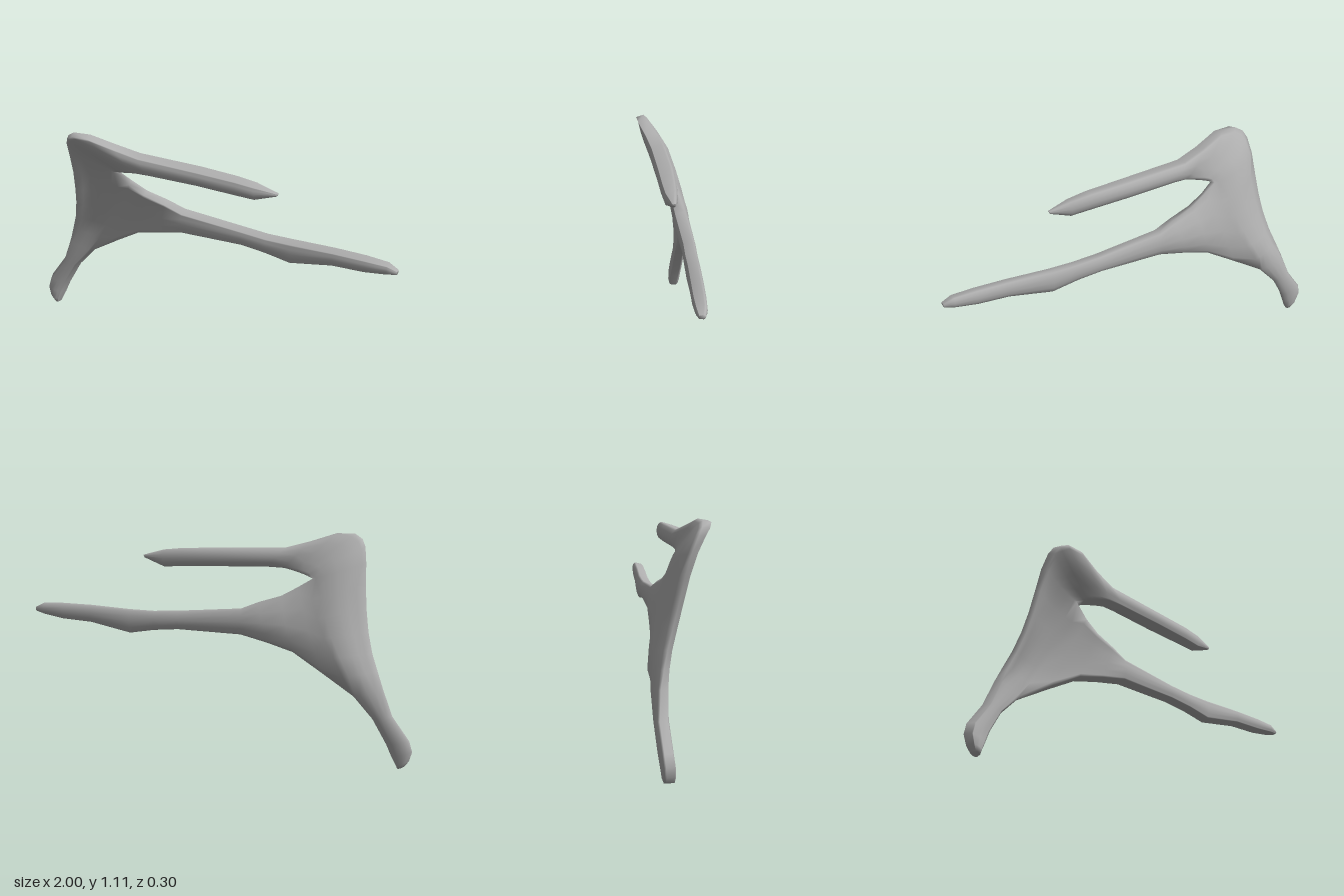
import * as THREE from 'three';
import { mergeVertices } from 'three/addons/utils/BufferGeometryUtils.js';

const N = 7; // points across each face of a section; equals the number of post rows below

// A section is a closed ring: front face from edge a to edge b, then the back face in return.
// The front is blunt and slightly narrower than the rounded back, which gives a slanted rim.
// t = half thickness, dish = how far the middle sinks backwards, open = edge b stays full thickness.
function section([ax, ay, az, bx, by, bz, t, dish = 0], open = false) {
  const front = [], back = [];
  const inset = Math.min(0.014 / Math.hypot(bx - ax, by - ay), 0.16);
  for (let k = 0; k < N; k++) {
    const f = k / (N - 1);
    const angle = open ? f * Math.PI / 2 : f * Math.PI;
    const u = open ? f : (1 - Math.cos(angle)) / 2;
    const round = Math.max(0, Math.sin(angle));
    const point = (v, h) => [
      ax + (bx - ax) * v,
      ay + (by - ay) * v,
      az + (bz - az) * v - dish * Math.sin(Math.PI * v) + h,
    ];
    const v = open ? inset + u * (1 - inset) : inset + u * (1 - 2 * inset);
    front.push(point(v, t * Math.max(0.78, Math.pow(round, 0.5))));
    back.push(point(u, -t * Math.max(0.42, Math.pow(round, 0.6))));
  }
  return [...front, ...back.reverse()];
}

// Joins rings into a skin; skipEdge(i) leaves the b edge open between rings i and i + 1.
function skin(rings, out, flip, capStart, skipEdge = () => false) {
  const quad = (a, b, c, d) => {
    const order = flip ? [a, c, b, a, d, c] : [a, b, c, a, c, d];
    order.forEach(p => out.push(...p));
  };
  for (let i = 0; i < rings.length - 1; i++) {
    const p = rings[i], q = rings[i + 1], m = p.length;
    for (let k = 0; k < m; k++) {
      if (k === N - 1 && skipEdge(i)) continue;
      const j = (k + 1) % m;
      quad(p[k], p[j], q[j], q[k]);
    }
  }
  const cap = (r, end) => {
    for (let k = 0; k < N - 1; k++) {
      const c = [r[k], r[k + 1], r[2 * N - 2 - k], r[2 * N - 1 - k]];
      if (!end) c.reverse();
      quad(...c);
    }
  };
  if (capStart) cap(rings[0], false);
  cap(rings[rings.length - 1], true);
}

export function createModel() {
  // Foot, post, top corner and upper prong: outer edge, inner edge, half thickness, dish
  const foot = [
    [-0.965, 0.018, -0.098, -0.93, 0.002, -0.095, 0.024],
    [-0.985, 0.045, -0.1, -0.92, 0.025, -0.097, 0.032],
    [-1.0, 0.095, -0.105, -0.9, 0.065, -0.1, 0.034],
    [-0.985, 0.15, -0.11, -0.875, 0.125, -0.107, 0.034],
    [-0.9, 0.27, -0.115, -0.805, 0.25, -0.113, 0.034],
  ];
  const post = [
    [-0.85, 0.4, -0.102, -0.71, 0.355, -0.108, 0.032, 0.008],
    [-0.82, 0.48, -0.085, -0.66, 0.45, -0.115, 0.027, 0.01],
    [-0.79, 0.56, -0.064, -0.61, 0.54, -0.101, 0.025, 0.014],
    [-0.765, 0.66, -0.034, -0.56, 0.63, -0.08, 0.025, 0.018],
    [-0.75, 0.76, -0.006, -0.52, 0.72, -0.053, 0.025, 0.022],
    [-0.74, 0.87, 0.022, -0.49, 0.81, -0.022, 0.026, 0.024],
    [-0.735, 0.98, 0.056, -0.48, 0.9, 0.018, 0.029, 0.024],
  ];
  const upperProng = [
    [-0.725, 1.055, 0.09, -0.45, 0.912, 0.032, 0.032, 0.02],
    [-0.708, 1.09, 0.11, -0.435, 0.916, 0.042, 0.035, 0.015],
    [-0.67, 1.114, 0.122, -0.415, 0.921, 0.05, 0.038, 0.01],
    [-0.58, 1.114, 0.119, -0.38, 0.93, 0.061, 0.042],
    [-0.45, 1.072, 0.092, -0.33, 0.94, 0.073, 0.044],
    [-0.33, 1.04, 0.076, -0.25, 0.942, 0.079, 0.046],
    [0, 1.028, 0.088, 0, 0.934, 0.088, 0.046],
    [0.2, 1.017, 0.102, 0.2, 0.924, 0.102, 0.04],
    [0.3, 1.005, 0.108, 0.3, 0.918, 0.108, 0.033],
    [0.412, 0.973, 0.11, 0.405, 0.958, 0.11, 0.01],
  ];
  // Lower prong: lower edge, upper edge, half thickness, dish
  const lowerProng = [
    [-0.55, 0.455, -0.083, -0.41, 0.857, 0.01, 0.03, 0.02],
    [-0.4, 0.545, -0.053, -0.33, 0.812, 0.004, 0.035, 0.02],
    [-0.27, 0.58, -0.032, -0.22, 0.778, -0.003, 0.038, 0.012],
    [-0.13, 0.612, -0.017, -0.13, 0.742, -0.01, 0.039],
    [0.2, 0.617, 0.006, 0.2, 0.712, 0.006, 0.035],
    [0.33, 0.604, 0.018, 0.33, 0.703, 0.018, 0.035],
    [0.46, 0.581, 0.028, 0.46, 0.704, 0.028, 0.035],
    [0.68, 0.622, 0.052, 0.68, 0.712, 0.052, 0.034],
    [0.84, 0.629, 0.069, 0.84, 0.712, 0.069, 0.033],
    [0.95, 0.646, 0.08, 0.95, 0.705, 0.08, 0.028],
    [0.998, 0.658, 0.085, 1.0, 0.68, 0.085, 0.016],
  ];

  const seam = post.map((row, i) => section(row, i > 0 && i < post.length - 1));
  const main = [...foot.map(r => section(r)), ...seam, ...upperProng.map(r => section(r))];
  // The lower prong grows from the open inner edge of the post
  const root = [...seam.map(r => r[N - 1]), ...seam.map(r => r[N]).reverse()];
  const branch = [root, ...lowerProng.map(r => section(r))];

  const positions = [];
  const first = foot.length, last = first + post.length - 1;
  skin(main, positions, false, true, i => i >= first && i < last);
  skin(branch, positions, true, false);

  let geometry = new THREE.BufferGeometry();
  geometry.setAttribute('position', new THREE.Float32BufferAttribute(positions, 3));
  geometry = mergeVertices(geometry, 1e-4);
  geometry.computeVertexNormals();

  const grey = new THREE.MeshStandardMaterial({ color: 0xb0b0b0 });
  grey.name = 'bone grey';
  const bone = new THREE.Mesh(geometry, grey);
  bone.name = 'forkedBone';

  const group = new THREE.Group();
  group.name = 'forkedBoneModel';
  group.add(bone);
  return group;
}
